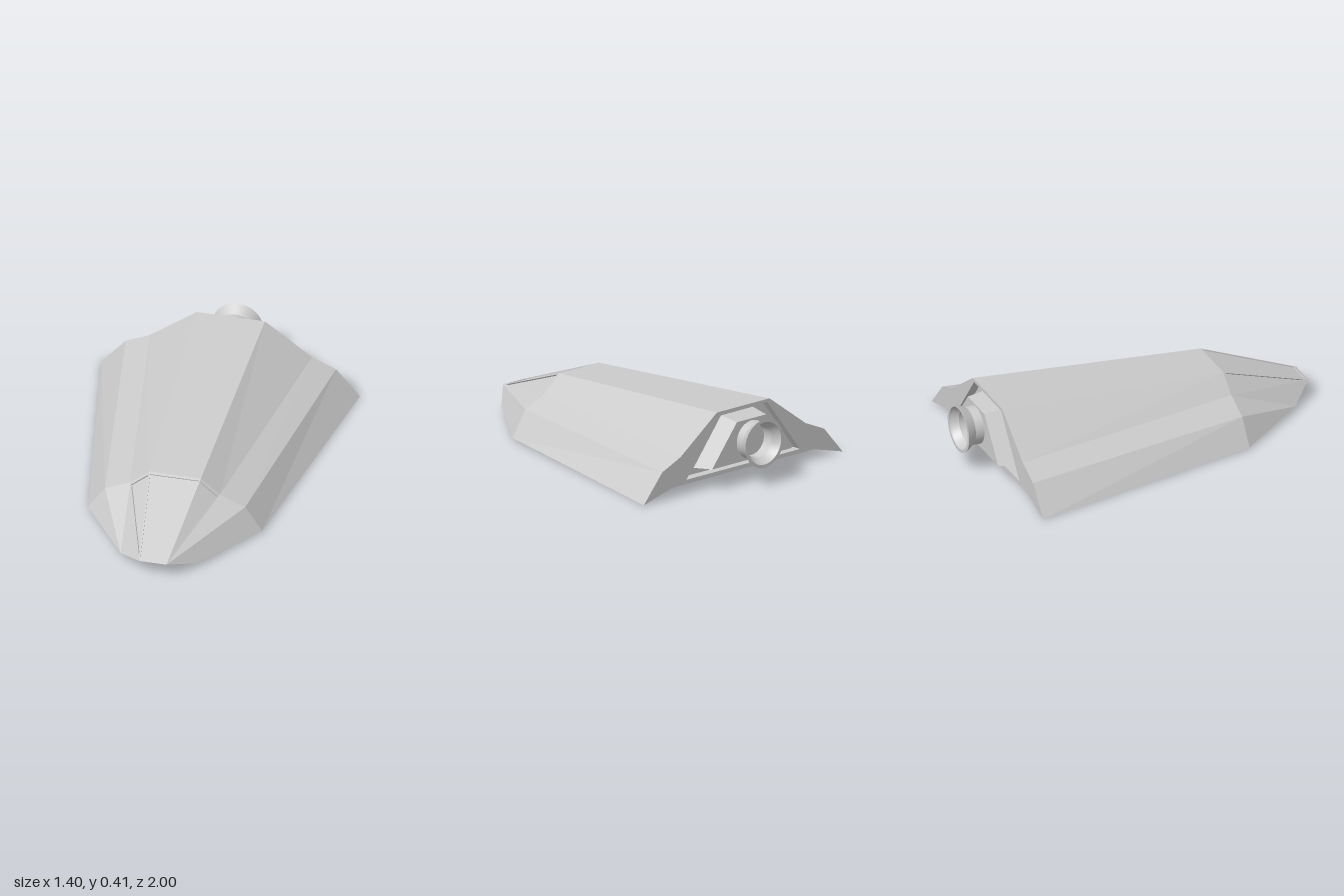
import * as THREE from 'three';
import { toCreasedNormals } from 'three/addons/utils/BufferGeometryUtils.js';

const material = new THREE.MeshStandardMaterial({ color: 0xcccccc, flatShading: true, side: THREE.DoubleSide });
const smooth = new THREE.MeshStandardMaterial({ color: 0xcccccc, side: THREE.DoubleSide });
const v = (x, y, z) => new THREE.Vector3(x, y, z);
const flip = (p) => v(-p.x, p.y, p.z);

// Mesh from flat polygons, each a loop of corners seen counter-clockwise
function polyMesh(name, faces) {
  const pos = [];
  for (const f of faces)
    for (let i = 1; i < f.length - 1; i++)
      for (const p of [f[0], f[i], f[i + 1]]) pos.push(p.x, p.y, p.z);
  const g = new THREE.BufferGeometry();
  g.setAttribute('position', new THREE.Float32BufferAttribute(pos, 3));
  g.computeVertexNormals();
  const mesh = new THREE.Mesh(g, material);
  mesh.name = name;
  return mesh;
}

const mirrorFaces = (faces) => faces.map((f) => f.map(flip).reverse());

// Quads joining two loops of equal length
const band = (a, b) => a.map((p, i) => {
  const j = (i + 1) % a.length;
  return [p, a[j], b[j], b[i]];
});

// A face with a sunken pane: frame, short walls and pane
function windowFaces(corners, scale, depth) {
  const c = corners.reduce((s, p) => s.add(p), v(0, 0, 0)).divideScalar(corners.length);
  const n = corners[1].clone().sub(corners[0]).cross(corners[2].clone().sub(corners[0])).normalize();
  const rim = corners.map((p) => p.clone().lerp(c, 1 - scale));
  const pane = rim.map((p) => p.clone().addScaledVector(n, -depth));
  return [...band(corners, rim), ...band(rim, pane), pane];
}

// Symmetric trapezoid at a given z
const trapezoid = (xb, yb, xt, yt, z) => [v(xb, yb, z), v(-xb, yb, z), v(-xt, yt, z), v(xt, yt, z)];

export function createModel() {
  const model = new THREE.Group();

  // Half cross-sections of the hull, from roof edge to lower edge
  const REAR = -0.83, MID = 0.475;
  const rear = [[0.185, 0.405], [0.44, 0.213], [0.57, 0.155], [0.7, 0]].map(([x, y]) => v(x, y, REAR));
  const mid = [[0.14, 0.297], [0.243, 0.209], [0.38, 0.149], [0.472, 0.01]].map(([x, y]) => v(x, y, MID));
  const tip = v(0.075, 0.095, 1), chin = v(0.205, 0.03, 0.865);

  // Main hull: roof and three tapering side strips
  const sides = [];
  for (let i = 0; i < 3; i++) sides.push([rear[i], mid[i], mid[i + 1], rear[i + 1]]);
  const roof = [rear[0], flip(rear[0]), flip(mid[0]), mid[0]];
  model.add(polyMesh('hull', [roof, ...sides, ...mirrorFaces(sides)]));

  // Nose cheeks below the windows
  const cheeks = [[tip, chin, mid[2], mid[1]], [chin, mid[3], mid[2]]];
  model.add(polyMesh('nose', [...cheeks, ...mirrorFaces(cheeks)]));

  // Windscreen and side windows
  model.add(polyMesh('windscreen', windowFaces([mid[0], flip(mid[0]), flip(tip), tip], 0.94, 0.006)));
  const sideWindow = windowFaces([tip, mid[1], mid[0]], 0.9, 0.008);
  model.add(polyMesh('leftWindow', sideWindow));
  model.add(polyMesh('rightWindow', mirrorFaces(sideWindow)));

  // Underside: flat centre floor with bevels down to the lower hull edge
  const floorRear = v(0.5, 0.055, REAR), floorMid = v(0.22, 0.08, MID);
  const bevels = [
    [rear[3], mid[3], floorMid, floorRear],
    [mid[3], chin, floorMid],
    [chin, tip, floorMid],
  ];
  model.add(polyMesh('underside', [
    [floorRear, floorMid, flip(floorMid), flip(floorRear)],
    [floorMid, tip, flip(tip), flip(floorMid)],
    ...bevels, ...mirrorFaces(bevels),
  ]));

  // Rear wall with an opening for the engine bay
  const half = [...rear, floorRear];
  const outline = [...half, ...half.map(flip).reverse()];
  const wallShape = new THREE.Shape(outline.map((p) => new THREE.Vector2(p.x, p.y)));
  const opening = trapezoid(0.4, 0.078, 0.17, 0.388, REAR);
  wallShape.holes.push(new THREE.Path(opening.map((p) => new THREE.Vector2(p.x, p.y))));
  const wallGeo = new THREE.ShapeGeometry(wallShape).rotateY(Math.PI);
  const wall = new THREE.Mesh(wallGeo, material);
  wall.position.z = REAR;
  wall.name = 'rearWall';
  model.add(wall);

  // Engine bay: recessed walls and back plate
  const bayBack = trapezoid(0.4, 0.078, 0.17, 0.388, -0.78);
  model.add(polyMesh('engineBay', [...band(opening, bayBack), bayBack]));

  // Engine housing
  const houseIn = trapezoid(0.305, 0.112, 0.112, 0.362, -0.78);
  const houseOut = trapezoid(0.278, 0.125, 0.103, 0.35, -0.897);
  model.add(polyMesh('engineHousing', [...band(houseIn, houseOut), [...houseOut].reverse()]));

  // Hollow flared nozzle with a stepped lip
  const profile = [[0.105, 0.88], [0.103, 0.945], [0.135, 1], [0.117, 1],
    [0.112, 0.985], [0.09, 0.955], [0.086, 0.87], [0, 0.87]];
  const nozzleGeo = new THREE.LatheGeometry(profile.map(([x, y]) => new THREE.Vector2(x, y)), 32);
  const nozzle = new THREE.Mesh(toCreasedNormals(nozzleGeo, 0.5), smooth);
  nozzle.rotation.x = -Math.PI / 2;
  nozzle.position.y = 0.235;
  nozzle.name = 'nozzle';
  model.add(nozzle);

  return model;
}
